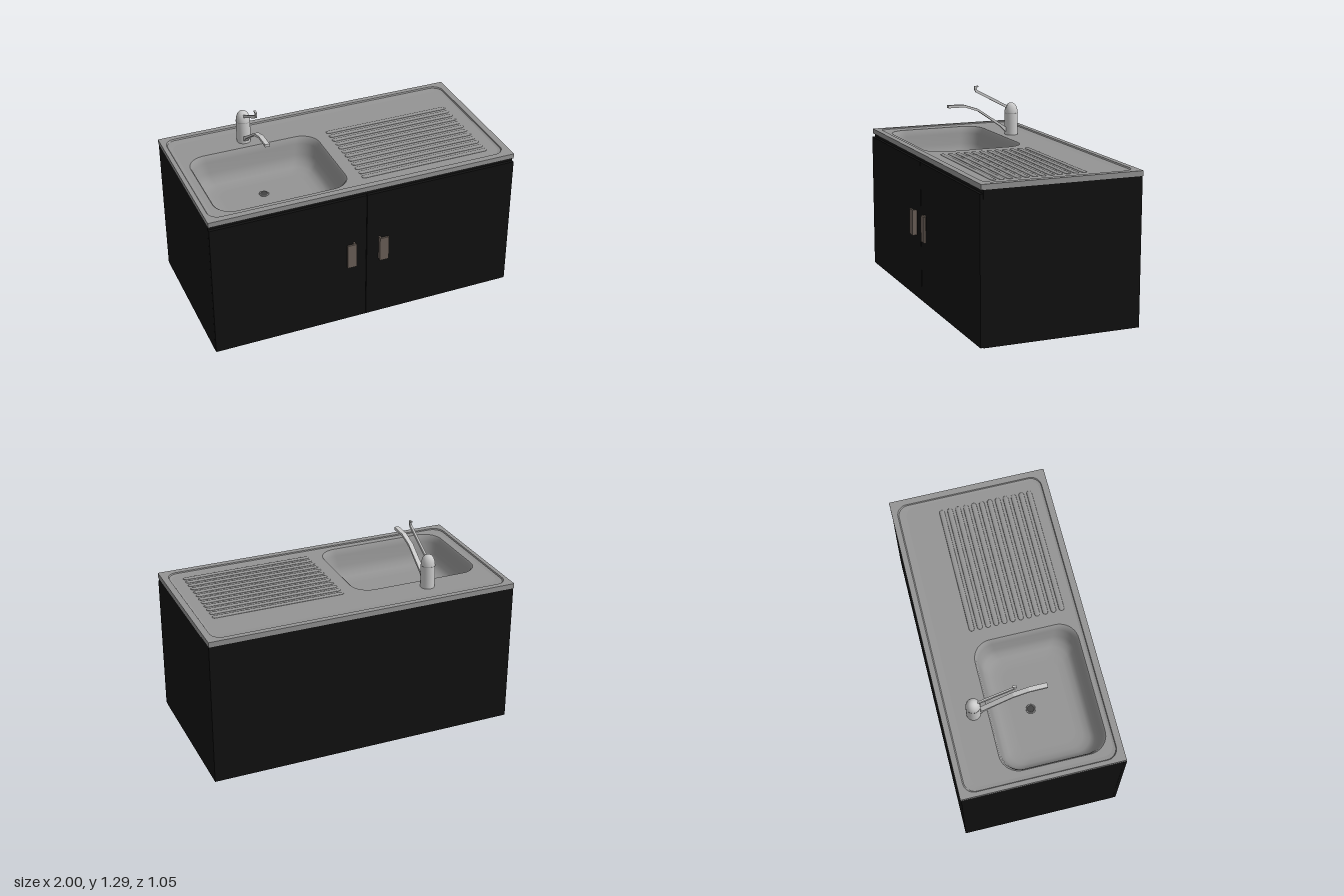
import * as THREE from 'three';
import { toCreasedNormals } from 'three/addons/utils/BufferGeometryUtils.js';

const mat = (color) => new THREE.MeshStandardMaterial({ color });
const black = mat(0x111111), steel = mat(0x949494), chrome = mat(0xcccccc);
const brown = mat(0x6b6058), dark = mat(0x444444);

function add(parent, name, geometry, material, x = 0, y = 0, z = 0) {
  const mesh = new THREE.Mesh(geometry, material);
  mesh.name = name;
  mesh.position.set(x, y, z);
  parent.add(mesh);
  return mesh;
}

// Box given by its limits on each axis
function box(parent, name, material, [x0, x1], [y0, y1], [z0, z1]) {
  return add(parent, name, new THREE.BoxGeometry(x1 - x0, y1 - y0, z1 - z0), material,
    (x0 + x1) / 2, (y0 + y1) / 2, (z0 + z1) / 2);
}

// Horizontal rounded rectangle as a ring of points
function ring(x0, x1, z0, z1, r, y) {
  const steps = 10, points = [];
  const centres = [[x1 - r, z1 - r], [x0 + r, z1 - r], [x0 + r, z0 + r], [x1 - r, z0 + r]];
  centres.forEach(([cx, cz], q) => {
    for (let i = 0; i <= steps; i++) {
      const a = (q + i / steps) * Math.PI / 2;
      points.push(new THREE.Vector3(cx + r * Math.cos(a), y, cz + r * Math.sin(a)));
    }
  });
  return points;
}

// Skin between successive rings
function loft(rings, crease) {
  const n = rings[0].length, index = [];
  for (let k = 0; k < rings.length - 1; k++) {
    for (let j = 0; j < n; j++) {
      const a = k * n + j, c = k * n + (j + 1) % n;
      index.push(a, a + n, c, a + n, c + n, c);
    }
  }
  const g = new THREE.BufferGeometry().setFromPoints(rings.flat());
  g.setIndex(index);
  return toCreasedNormals(g, crease);
}

// Flat upward face inside a ring, with optional hole
function plate(outer, hole) {
  const flat = (pts) => pts.map((p) => new THREE.Vector2(p.x, -p.z));
  const shape = new THREE.Shape(flat(outer));
  if (hole) shape.holes.push(new THREE.Path(flat(hole)));
  return new THREE.ShapeGeometry(shape).rotateX(-Math.PI / 2).translate(0, outer[0].y, 0);
}

// Side profile in (z, y), extruded across x
function sideExtrude(points, width) {
  const shape = new THREE.Shape(points.map(([z, y]) => new THREE.Vector2(-z, y)));
  return new THREE.ExtrudeGeometry(shape, { depth: width, bevelEnabled: false })
    .translate(0, 0, -width / 2).rotateY(Math.PI / 2);
}

function buildCabinet() {
  const g = new THREE.Group();
  g.name = 'cabinet';
  for (const s of [-1, 1]) {
    const span = (a, b) => (s > 0 ? [a, b] : [-b, -a]);
    box(g, 'sidePanel', black, span(0.978, 0.998), [0, 0.925], [-0.52, 0.48]);
    box(g, 'floorPanel', black, span(0.001, 0.978), [0, 0.02], [-0.5, 0.48]);
    box(g, 'door', black, span(0.002, 0.998), [0.003, 0.9], [0.481, 0.5]);
    // L-shaped handle: stem and plate
    box(g, 'handleStem', brown, span(0.08, 0.09), [0.415, 0.58], [0.5, 0.52]);
    box(g, 'handlePlate', brown, span(0.078, 0.138), [0.415, 0.58], [0.518, 0.53]);
  }
  box(g, 'backPanel', black, [-0.978, 0.978], [0, 0.925], [-0.52, -0.5]);
  box(g, 'frontRail', black, [-0.978, 0.978], [0.86, 0.925], [0.46, 0.48]);
  return g;
}

function buildSink() {
  const g = new THREE.Group();
  g.name = 'sinkTop';
  const trayY = 0.944;

  // Rim: underside, outer edge, flat border, slope down to the tray
  const trayEdge = ring(-0.945, 0.942, -0.437, 0.44, 0.07, trayY);
  add(g, 'rim', loft([
    ring(-0.94, 0.94, -0.46, 0.44, 0.003, 0.923),
    ring(-1, 1, -0.525, 0.495, 0.003, 0.923),
    ring(-1, 1, -0.525, 0.495, 0.003, 0.955),
    ring(-0.973, 0.96, -0.49, 0.455, 0.07, 0.955),
    ring(-0.968, 0.956, -0.483, 0.452, 0.07, 0.948),
    trayEdge,
  ], 0.3), steel);

  // Basin: inset and height of each ring
  const profile = [[0, trayY], [0.008, 0.936], [0.018, 0.9], [0.032, 0.83],
    [0.048, 0.79], [0.075, 0.766], [0.11, 0.757], [0.15, 0.755]];
  const rings = profile.map(([d, y]) =>
    ring(-0.91 + d, -0.058 - d, -0.24 + d, 0.418 - d, 0.12 - d * 0.3, y));
  add(g, 'tray', plate(trayEdge, rings[0]), steel);
  add(g, 'basin', loft(rings, 0.8), steel);
  add(g, 'basinFloor', plate(rings[rings.length - 1]), steel);

  // Drain
  add(g, 'drainRing', new THREE.TorusGeometry(0.026, 0.005, 8, 24).rotateX(Math.PI / 2), steel, -0.495, 0.756, 0.035);
  add(g, 'drainPlug', new THREE.CylinderGeometry(0.025, 0.025, 0.004, 24), dark, -0.495, 0.756, 0.035);

  // Draining ridges
  const ridge = new THREE.CapsuleGeometry(0.017, 0.78, 6, 12)
    .rotateZ(Math.PI / 2).scale(1.045, 0.4, 1);
  for (let i = 0; i < 12; i++) add(g, 'drainerRidge', ridge, steel, 0.448, trayY, -0.21 + i * 0.0522);
  return g;
}

function buildTap() {
  const g = new THREE.Group();
  g.name = 'tap';
  g.position.x = -0.495;

  // Body with domed cap
  const profile = [[0.044, 0.943], [0.045, 1.02], [0.045, 1.09], [0.042, 1.115], [0.035, 1.137],
    [0.023, 1.152], [0.011, 1.158], [0, 1.159]].map(([r, y]) => new THREE.Vector2(r, y));
  add(g, 'tapBody', new THREE.LatheGeometry(profile, 28), chrome, 0, 0, -0.325);
  add(g, 'tapSeam', new THREE.CylinderGeometry(0.0455, 0.0455, 0.003, 28), steel, 0, 1.09, -0.325);

  // Bent spout
  add(g, 'spout', sideExtrude([[-0.3, 0.965], [-0.28, 0.965], [-0.24, 1.005], [-0.085, 1.113],
    [0.015, 1.148], [0.13, 1.148], [0.13, 1.167], [0.015, 1.163], [-0.08, 1.132],
    [-0.25, 1.018], [-0.3, 0.985]], 0.03), chrome);

  // Lever with upturned tip
  add(g, 'lever', sideExtrude([[-0.32, 1.118], [-0.29, 1.125], [-0.067, 1.243], [-0.06, 1.26],
    [-0.058, 1.284], [-0.085, 1.286], [-0.086, 1.278], [-0.072, 1.274], [-0.077, 1.258],
    [-0.29, 1.145], [-0.32, 1.14]], 0.012), chrome);
  return g;
}

export function createModel() {
  const model = new THREE.Group();
  model.name = 'kitchenSinkUnit';
  model.add(buildCabinet(), buildSink(), buildTap());
  return model;
}
